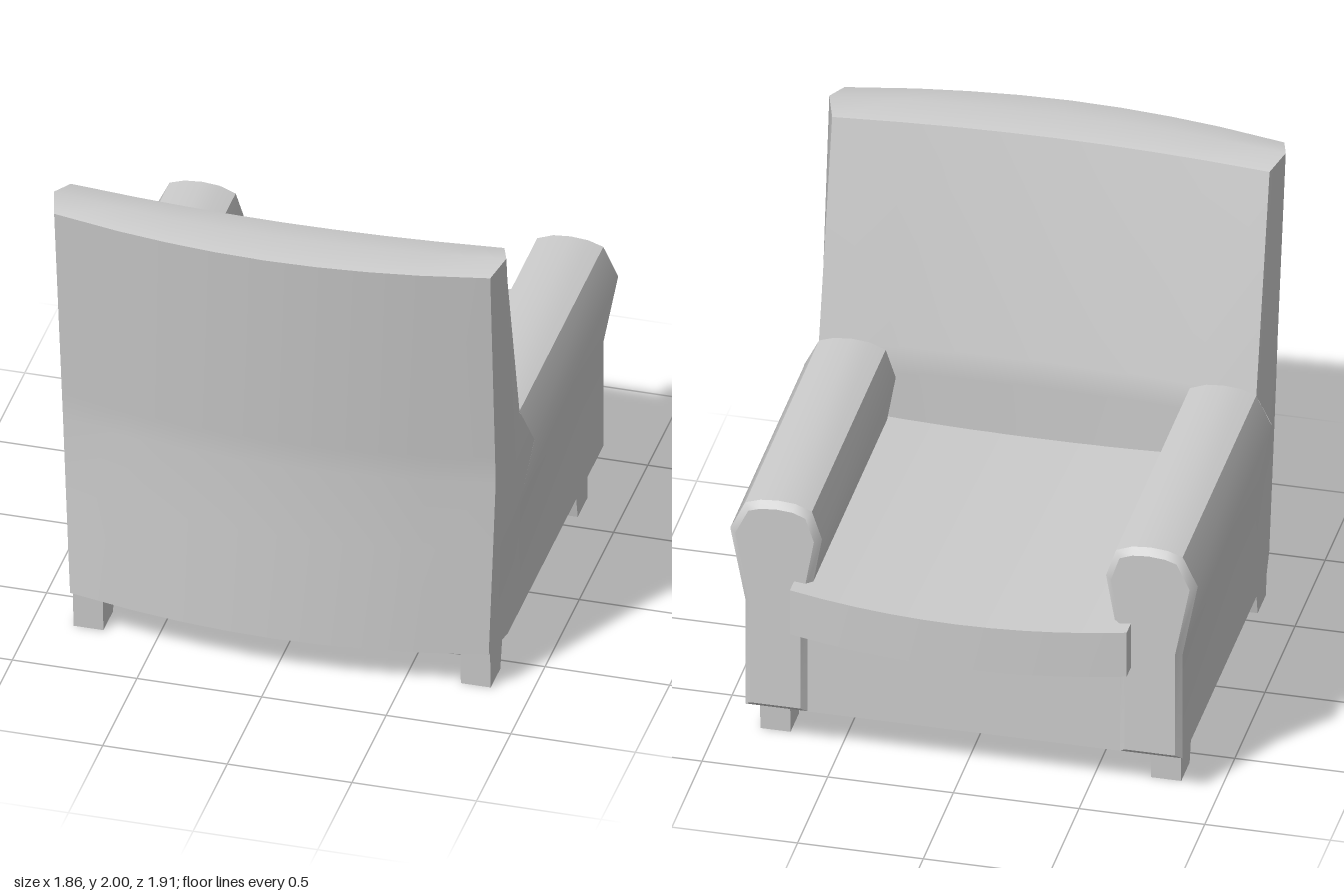
import * as THREE from 'three';
import { toCreasedNormals } from 'three/addons/utils/BufferGeometryUtils.js';

const grey = new THREE.MeshStandardMaterial({ color: 0xcccccc });

function part(name, geometry, parent) {
  const mesh = new THREE.Mesh(geometry, grey);
  mesh.name = name;
  parent.add(mesh);
  return mesh;
}

// Smooth surface through rows of points (rows go up, columns go right, seen from outside)
function patch(rows) {
  const n = rows[0].length;
  const index = [];
  for (let i = 0; i < rows.length - 1; i++) {
    for (let j = 0; j < n - 1; j++) {
      const a = i * n + j, b = a + 1, c = b + n, d = a + n;
      index.push(a, b, c, a, c, d);
    }
  }
  const g = new THREE.BufferGeometry();
  g.setAttribute('position', new THREE.Float32BufferAttribute(rows.flat(2), 3));
  g.setIndex(index);
  g.computeVertexNormals();
  return g;
}

// Backrest: curved rear and inner faces, pointed sides, shallow ridged top
function backrest(parent) {
  const group = new THREE.Group();
  group.name = 'backrest';
  parent.add(group);
  const columns = [-1, -0.69, -0.46, -0.23, 0, 0.23, 0.46, 0.69, 1];
  // rear corner x, middle x, front corner x, then z of rear corner, middle, front corner
  const levels = [
    { y: 0.175, rx: 0.84, mx: 0.87, fx: 0.87, rz: 0.74, mz: 0.57, fz: 0.4 },
    { y: 0.65, rx: 0.857, mx: 0.888, fx: 0.87, rz: 0.74, mz: 0.57, fz: 0.4 },
    { y: 0.97, rx: 0.868, mx: 0.903, fx: 0.93, rz: 0.74, mz: 0.57, fz: 0.4 },
    { y: 1.09, rx: 0.869, mx: 0.904, fx: 0.87, rz: 0.752, mz: 0.587, fz: 0.4 },
    { y: 1.975, rx: 0.875, mx: 0.908, fx: 0.87, rz: 0.845, mz: 0.73, fz: 0.62, my: 2 },
  ];
  const bow = (u, depth) => depth * (1 - Math.abs(u) ** 1.9);
  const rear = levels.map(l => columns.map(u => [u * l.rx, l.y, l.rz + bow(u, 0.108)]));
  const front = levels.map(l => columns.map(u => [u * l.fx, l.y, l.fz + bow(u, 0.05)]));
  const top = levels[levels.length - 1];
  const ridge = columns.map(u => [u * top.mx, top.my, top.mz + bow(u, 0.08)]);

  part('backrestRear', patch(rear), group);
  part('backrestInner', patch(front.map(r => [...r].reverse())), group);
  part('backrestTop', patch([rear[4], ridge, front[4]]), group);
  part('backrestUnderside', patch([front[0], rear[0]]), group);
  for (const s of [1, -1]) {
    const side = levels.map(l => {
      const row = [[s * l.rx, l.y, l.rz], [s * l.mx, l.my ?? l.y, l.mz], [s * l.fx, l.y, l.fz]];
      return s > 0 ? row : row.reverse();
    });
    part(s > 0 ? 'backrestLeftSide' : 'backrestRightSide', patch(side), group);
  }
}

// Armrest: rolled profile with a bevelled front panel
function armrest(s) {
  const profile = [
    [0.62, 0.175], [0.87, 0.175], [0.87, 0.65], [0.93, 0.965], [0.87, 1.09], [0.81, 1.11],
    [0.74, 1.116], [0.67, 1.11], [0.605, 1.085], [0.565, 0.965], [0.62, 0.65],
  ];
  const shape = new THREE.Shape(profile.map(([x, y]) => new THREE.Vector2(s * x, y)));
  const g = new THREE.ExtrudeGeometry(shape, {
    depth: 1.225, bevelEnabled: true, bevelThickness: 0.027, bevelSize: 0.025,
    bevelOffset: -0.025, bevelSegments: 1,
  });
  g.translate(0, 0, -0.823);
  return toCreasedNormals(g, 0.7);
}

// Seat cushion: sags in the middle and bows outward at the front edge
function cushion() {
  const g = new THREE.BoxGeometry(1.34, 0.2, 1.4, 10, 1, 1);
  const p = g.attributes.position;
  for (let i = 0; i < p.count; i++) {
    const middle = 1 - (p.getX(i) / 0.67) ** 2;
    p.setY(i, p.getY(i) + 0.675 - 0.036 * middle);
    p.setZ(i, p.getZ(i) < 0 ? -0.918 - 0.038 * middle : 0.48);
  }
  return toCreasedNormals(g, 0.6);
}

// Foot: block narrowing toward the floor, front to back
function foot(topZ, bottomZ) {
  const g = new THREE.BoxGeometry(0.12, 0.175, 1);
  const p = g.attributes.position;
  for (let i = 0; i < p.count; i++) {
    const range = p.getY(i) > 0 ? topZ : bottomZ;
    p.setZ(i, range[p.getZ(i) > 0 ? 1 : 0]);
  }
  g.computeVertexNormals();
  return g;
}

export function createModel() {
  const chair = new THREE.Group();
  chair.name = 'armchair';

  backrest(chair);
  part('seatCushion', cushion(), chair);

  // Base under the cushion, between the arms
  const base = part('seatBase', new THREE.BoxGeometry(1.27, 0.425, 1.25), chair);
  base.position.set(0, 0.3875, -0.2);

  for (const s of [1, -1]) {
    const name = s > 0 ? 'left' : 'right';
    part(name + 'Armrest', armrest(s), chair);
    const rearFoot = part(name + 'FootAtBackrest', foot([0.52, 0.71], [0.56, 0.7]), chair);
    const frontFoot = part(name + 'FootAtSeat', foot([-0.72, -0.53], [-0.71, -0.57]), chair);
    for (const f of [rearFoot, frontFoot]) f.position.set(s * 0.777, 0.0875, 0);
  }
  return chair;
}
